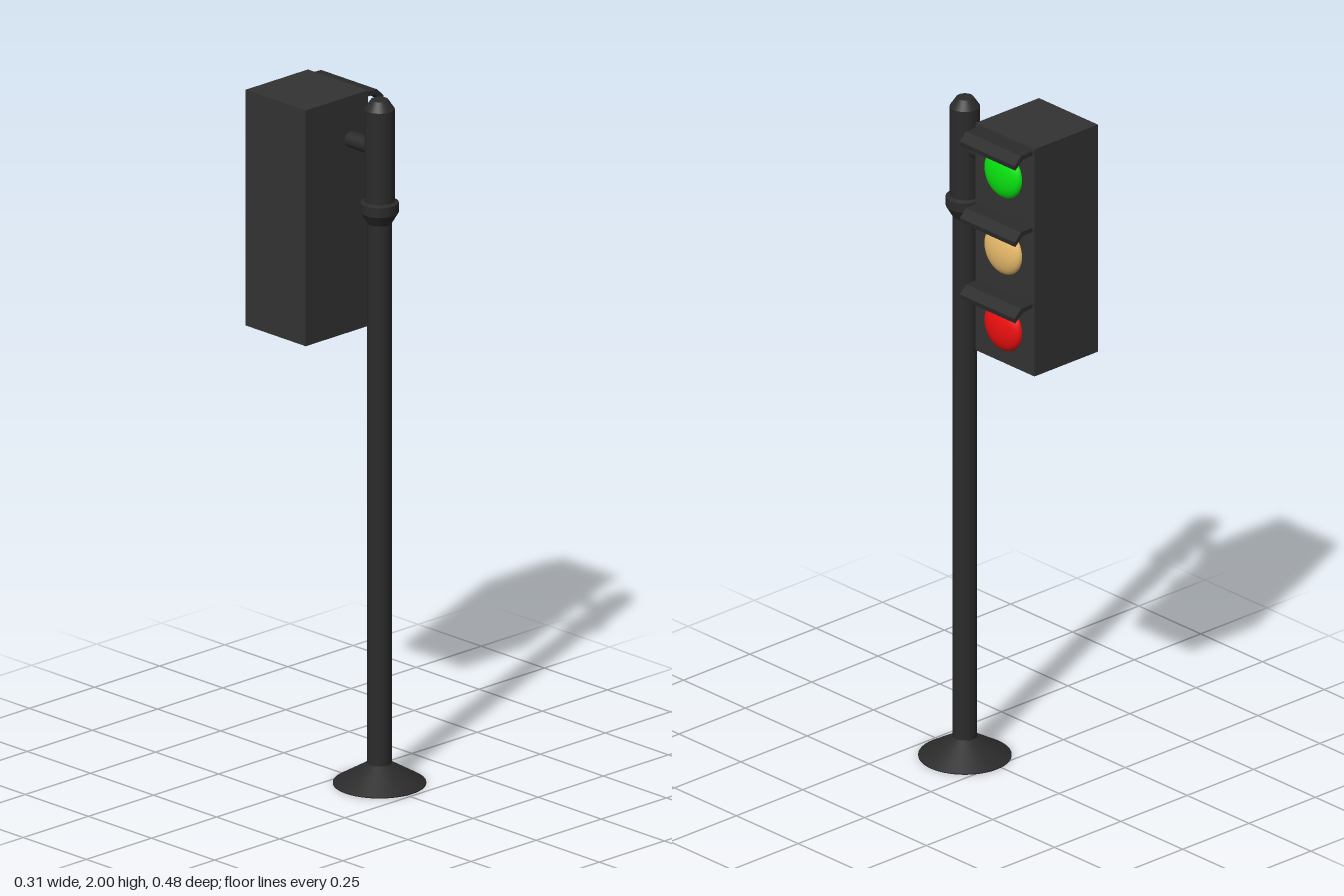
import * as THREE from 'three';
import { mergeGeometries } from 'three/addons/utils/BufferGeometryUtils.js';

const mat = (color) => new THREE.MeshStandardMaterial({ color });

// Turned part: one lathe per profile segment, so rings stay sharp and sides smooth
function turned(profile, sides = 32) {
  const bands = [];
  for (let i = 0; i < profile.length - 1; i++) {
    const pair = [profile[i], profile[i + 1]].map(([r, y]) => new THREE.Vector2(r, y));
    bands.push(new THREE.LatheGeometry(pair, sides));
  }
  return mergeGeometries(bands);
}

export function createModel() {
  const model = new THREE.Group();
  model.name = 'trafficLight';
  const poleMat = mat(0x2b2b2b);
  const bodyMat = mat(0x333333);

  const add = (name, geometry, material, x, y, z) => {
    const mesh = new THREE.Mesh(geometry, material);
    mesh.name = name;
    mesh.position.set(x, y, z);
    model.add(mesh);
    return mesh;
  };

  const poleX = 0.018, poleZ = 0.111;

  // Flared foot
  add('base', turned([[0, 0], [0.129, 0], [0.129, 0.003], [0.034, 0.06]], 48), poleMat, poleX, 0, poleZ);

  // Slim lower pole
  add('pole', turned([[0.034, 0.05], [0.034, 1.67]]), poleMat, poleX, 0, poleZ);

  // Collar and thicker upper pole with a chamfered tip
  add('collar', turned([[0.034, 1.64], [0.053, 1.672], [0.053, 1.7], [0.042, 1.705]]), poleMat, poleX, 0, poleZ);
  add('upperPole', turned([[0.042, 1.7], [0.042, 1.973], [0.024, 2], [0, 2]]), poleMat, poleX, 0, poleZ);

  // Horizontal arm holding the housing
  const arm = add('arm', new THREE.CylinderGeometry(0.023, 0.023, 0.13, 24), poleMat, poleX, 1.855, 0.046);
  arm.rotation.x = Math.PI / 2;

  // Housing
  add('housing', new THREE.BoxGeometry(0.239, 0.69, 0.238), bodyMat, -0.0345, 1.636, -0.123);

  // Visor profile, seen from the front, relative to the lamp centre
  const visorShape = new THREE.Shape([
    [0.075, 0.092], [0.12, 0.09], [0.15, 0.066], [0.152, 0.08], [0.128, 0.103], [0.075, 0.105],
  ].map(([x, y]) => new THREE.Vector2(x, y)));
  const visorGeo = new THREE.ExtrudeGeometry(visorShape, { depth: 0.222, bevelEnabled: false });

  // Domed lamps, each under its visor
  const lampGeo = new THREE.SphereGeometry(0.073, 32, 20);
  const lamps = [['greenLamp', 0x08e810, 1.868], ['amberLamp', 0xebbd6c, 1.636], ['redLamp', 0xf01010, 1.404]];
  for (const [name, color, y] of lamps) {
    add(name, lampGeo, mat(color), 0.085, y, -0.119).scale.x = 0.4;
    add(name + 'Visor', visorGeo, poleMat, 0, y, -0.234);
  }

  return model;
}
